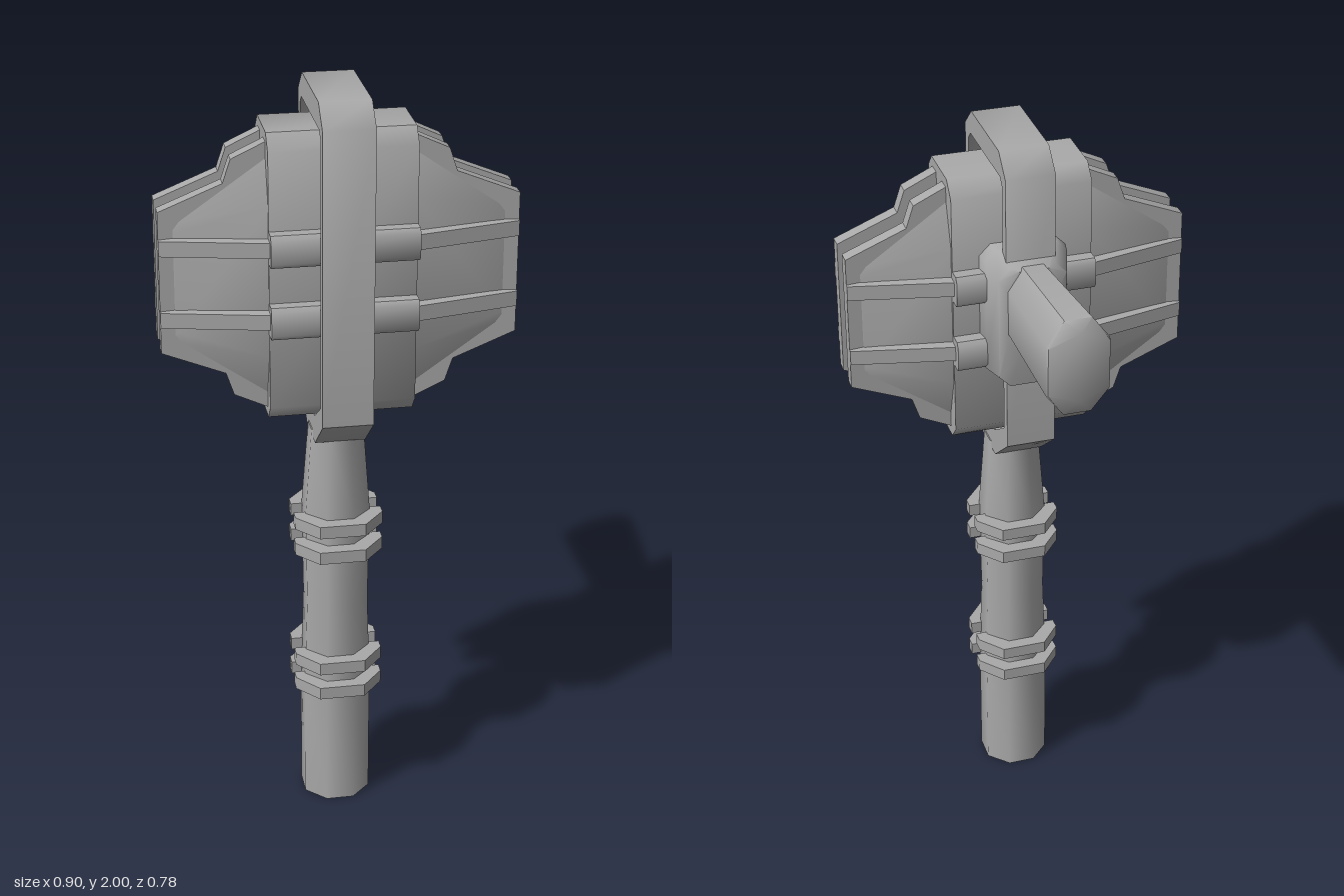
import * as THREE from 'three';
import { toCreasedNormals } from 'three/addons/utils/BufferGeometryUtils.js';
import { ConvexGeometry } from 'three/addons/geometries/ConvexGeometry.js';

const CZ = 0.208; // depth of the central plane

export function createModel() {
  const model = new THREE.Group();
  const grey = new THREE.MeshStandardMaterial({ color: 0xa9a9a9 });
  grey.name = 'plain grey';

  const add = (name, geometry, crease = 0.85) => {
    const mesh = new THREE.Mesh(toCreasedNormals(geometry, crease), grey);
    mesh.name = name;
    model.add(mesh);
    return mesh;
  };
  const shapeOf = (pts) => new THREE.Shape(pts.map(([x, y]) => new THREE.Vector2(x, y)));
  const extrude = (shape, depth) =>
    new THREE.ExtrudeGeometry(shape, { depth, bevelEnabled: false }).translate(0, 0, -depth / 2);
  // outline given as (z, y), extruded across x
  const acrossX = (shape, width) => extrude(shape, width).rotateY(-Math.PI / 2);
  const hull = (pts) => new ConvexGeometry(pts.map((p) => new THREE.Vector3(...p)));

  // Hollow octagonal pole
  const profile = [[0, 0.1], [0.062, 0.1], [0.062, 0], [0.088, 0], [0.088, 0.36],
    [0.081, 0.6], [0.085, 0.86], [0.068, 1.1], [0, 1.1]];
  const pole = new THREE.LatheGeometry(
    profile.map(([r, y]) => new THREE.Vector2(r / Math.cos(Math.PI / 8), y)), 8);
  add('pole', pole.rotateY(Math.PI / 8).translate(0, 0, CZ));

  // Split clamp rings around the pole
  const clamp = shapeOf([[0.115, 0.025], [0.115, 0.055], [0.06, 0.12], [-0.06, 0.12], [-0.115, 0.055],
    [-0.115, 0.025], [-0.075, 0.025], [-0.075, 0.04], [-0.04, 0.075], [0.04, 0.075], [0.075, 0.04], [0.075, 0.025]]);
  for (const y of [0.36, 0.435, 0.77, 0.845]) {
    for (const turn of [0, Math.PI]) {
      add('clampHalf', extrude(clamp, 0.034).rotateX(Math.PI / 2).rotateY(turn).translate(0, y, CZ));
    }
  }

  // Forked loop that holds the head
  const loop = shapeOf([[0.14, 1.08], [0.275, 1.08], [0.39, 1.175], [0.39, 1.945], [0.33, 2],
    [0.08, 2], [0.022, 1.945], [0.022, 1.175]]);
  loop.holes.push(new THREE.Path([[0.145, 1.155], [0.052, 1.215], [0.052, 1.915], [0.07, 1.935],
    [0.34, 1.935], [0.36, 1.915], [0.36, 1.215], [0.27, 1.155]].map(([z, y]) => new THREE.Vector2(z, y))));
  add('forkLoop', acrossX(loop, 0.13));

  // Head core with two raised bands
  const core = shapeOf([[0.135, 1.165], [0.28, 1.165], [0.315, 1.205], [0.315, 1.875], [0.28, 1.915],
    [0.135, 1.915], [0.097, 1.875], [0.097, 1.205]]);
  add('headCore', acrossX(core, 0.37));
  for (const y of [1.633, 1.445]) {
    const band = shapeOf([[0.055, y - 0.03], [0.065, y - 0.042], [0.345, y - 0.042], [0.355, y - 0.03],
      [0.355, y + 0.03], [0.345, y + 0.042], [0.065, y + 0.042], [0.055, y + 0.03]]);
    add('coreBand', acrossX(band, 0.37));
  }

  // Stepped wings: grooved rim, swelling panels and tapering ribs
  const MY = 1.54;
  const upper = [[0.15, 0.35], [0.185, 0.35], [0.27, 0.31], [0.29, 0.25], [0.45, 0.185]];
  const outline = (s, inset) => [...upper, ...upper.map(([x, y]) => [x, -y]).reverse()]
    .map(([x, y]) => [s * (x > 0.2 ? x - inset : x), MY + y - Math.sign(y) * inset]);
  for (const s of [1, -1]) {
    add('wingGroove', extrude(shapeOf(outline(s, 0.035)), 0.06).translate(0, 0, CZ), 0.5);
    for (const t of [1, -1]) {
      add('wingPlate', extrude(shapeOf(outline(s, 0)), 0.036).translate(0, 0, CZ + t * 0.046), 0.5);
      const panel = outline(s, 0.03).map(([x, y]) => [x, y, CZ + t * 0.06]);
      for (const y of [-0.2, 0.2]) {
        panel.push([s * 0.18, MY + y, CZ + t * 0.102], [s * 0.41, MY + y * 0.65, CZ + t * 0.066]);
      }
      add('wingPanel', hull(panel), 0.5);
      for (const y of [1.633, 1.445]) {
        const rib = [];
        for (const h of [-1, 1]) {
          rib.push([s * 0.17, y + h * 0.026, CZ + t * 0.05], [s * 0.45, y + h * 0.026, CZ + t * 0.05],
            [s * 0.17, y + h * 0.02, CZ + t * 0.131], [s * 0.45, y + h * 0.02, CZ + t * 0.07]);
        }
        add('wingRib', hull(rib), 0.5);
      }
    }
  }

  // Rear socket and slightly flared handle, lofted from chamfered sections
  const section = (z, w, y0, y1, cx, cy) => [1, -1].flatMap((s) => [
    [s * w, y0 + cy, z], [s * w, y1 - cy, z], [s * (w - cx), y0, z], [s * (w - cx), y1, z]]);
  add('handleSocket', hull([
    ...section(0.1, 0.115, 1.37, 1.74, 0.03, 0.03),
    ...section(0.06, 0.108, 1.37, 1.74, 0.03, 0.03),
    ...section(0.005, 0.09, 1.37, 1.71, 0.03, 0.03),
    ...section(-0.008, 0.07, 1.46, 1.705, 0.03, 0.05)]));
  add('rearHandle', hull([
    ...section(0.02, 0.068, 1.47, 1.71, 0.04, 0.06),
    ...section(-0.365, 0.08, 1.495, 1.755, 0.045, 0.06),
    [0, 1.73, -0.392], [0, 1.54, -0.392], [0.078, 1.69, -0.376], [-0.078, 1.69, -0.376],
    [0.078, 1.56, -0.376], [-0.078, 1.56, -0.376]]), 0.9);

  return model;
}
